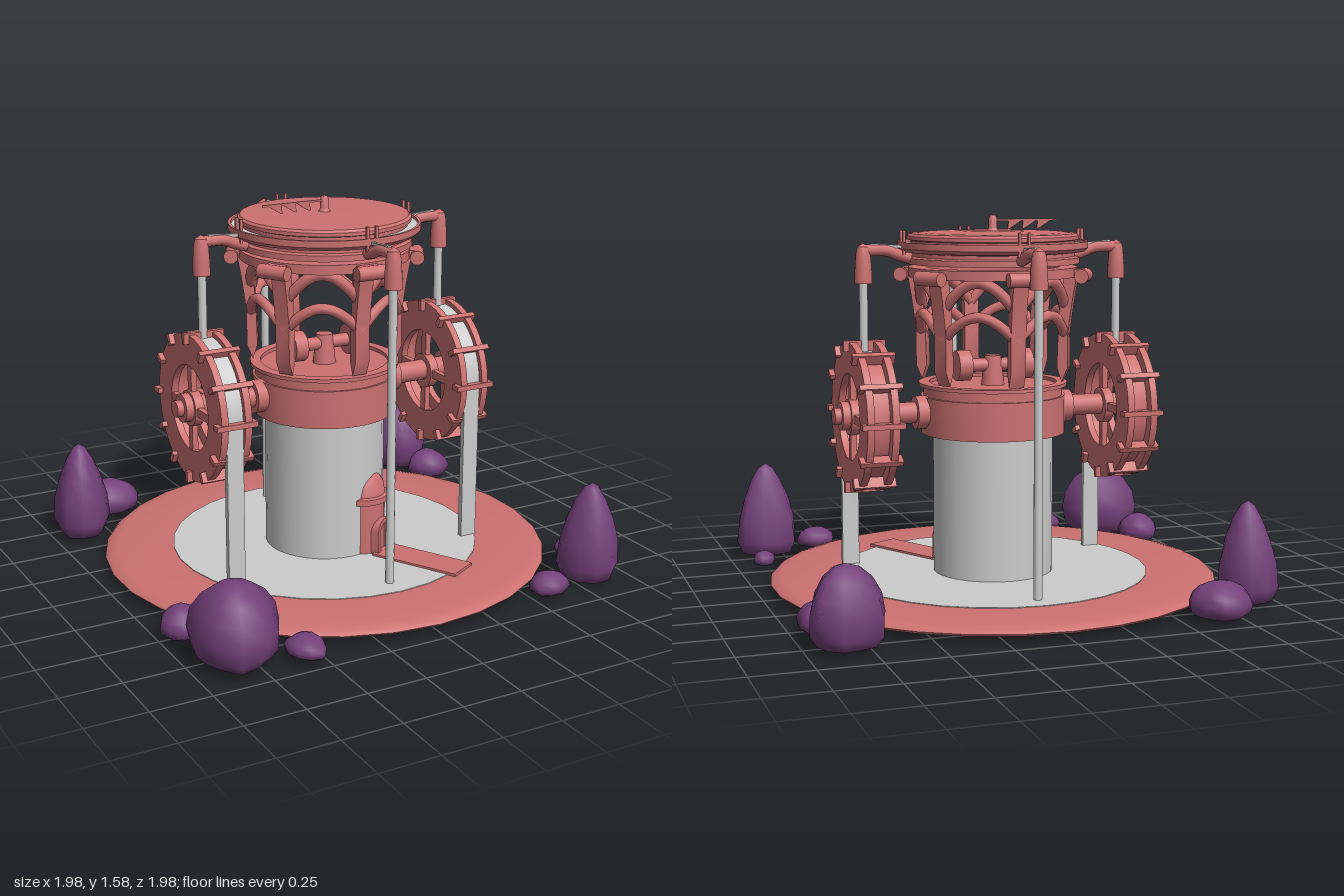
import * as THREE from 'three';
import { mergeVertices, toCreasedNormals } from 'three/addons/utils/BufferGeometryUtils.js';

const red = new THREE.MeshStandardMaterial({ color: 0xcc7171, side: THREE.DoubleSide });
const grey = new THREE.MeshStandardMaterial({ color: 0xcccccc, side: THREE.DoubleSide });
const purple = new THREE.MeshStandardMaterial({ color: 0x74417a });

function add(parent, name, geo, mat = red, x = 0, y = 0, z = 0) {
  const m = new THREE.Mesh(geo, mat);
  m.name = name;
  m.position.set(x, y, z);
  parent.add(m);
  return m;
}
const group = (parent, name) => {
  const g = new THREE.Group();
  g.name = name;
  parent.add(g);
  return g;
};
// Turned shape from [radius, height] pairs, with sharp edges kept
const turn = (pts, seg = 40) =>
  toCreasedNormals(new THREE.LatheGeometry(pts.map(p => new THREE.Vector2(...p)), seg), 0.6);
const cyl = (r1, r2, h, seg = 20) => new THREE.CylinderGeometry(r1, r2, h, seg);
const box = (w, h, d) => new THREE.BoxGeometry(w, h, d);
const tube = (pts, r, n = 16) =>
  new THREE.TubeGeometry(new THREE.CatmullRomCurve3(pts.map(p => new THREE.Vector3(...p))), n, r, 8);
// Flat shape given depth, centred on its own plane
const slab = (shape, depth) => toCreasedNormals(
  new THREE.ExtrudeGeometry(shape, { depth, bevelEnabled: false, curveSegments: 32 })
    .translate(0, 0, -depth / 2), 0.6);
function ring(outer, inner, depth) {
  const s = new THREE.Shape().absarc(0, 0, outer, 0, Math.PI * 2);
  s.holes.push(new THREE.Path().absarc(0, 0, inner, 0, Math.PI * 2, true));
  return slab(s, depth);
}

// Round platform with its pool
function addBase(root) {
  const g = group(root, 'base');
  add(g, 'platform', turn([[0, 0.025], [0.9, 0.022], [0.945, 0.028], [0.953, 0.038], [0.94, 0.05],
    [0.9, 0.06], [0.66, 0.06], [0, 0.055]], 30));
  add(g, 'poolWater', cyl(0.66, 0.66, 0.008, 30), grey, 0, 0.059);
  add(g, 'poolUnderside', ring(0.7, 0.675, 0.008), grey, 0, 0.022).rotation.x = Math.PI / 2;
}

// Grey tower with red drum and a small domed entrance
function addTower(root) {
  const g = group(root, 'tower');
  add(g, 'towerWall', cyl(0.255, 0.255, 0.61, 32), grey, 0, 0.365);
  add(g, 'drum', turn([[0, 0.66], [0.305, 0.66], [0.305, 0.82], [0.295, 0.82], [0.295, 0.86],
    [0.315, 0.86], [0.315, 0.875], [0.27, 0.875], [0.27, 0.86], [0, 0.86]]));

  const e = group(g, 'entrance');
  e.rotation.y = 0.5;
  add(e, 'porch', turn([[0.1, 0.06], [0.1, 0.28], [0.115, 0.285], [0.115, 0.31], [0.1, 0.315],
    [0.093, 0.36], [0.065, 0.405], [0.03, 0.43], [0.02, 0.455], [0, 0.46]], 24), red, 0, 0, 0.19);
  const arch = new THREE.Shape().moveTo(-0.055, 0).lineTo(0.055, 0).lineTo(0.055, 0.1)
    .absarc(0, 0.1, 0.055, 0, Math.PI);
  arch.holes.push(new THREE.Path().moveTo(-0.035, 0.005).lineTo(-0.035, 0.1)
    .absarc(0, 0.1, 0.035, Math.PI, 0, true).lineTo(0.035, 0.005));
  add(e, 'doorFrame', slab(arch, 0.05), red, 0, 0.06, 0.285);
  add(e, 'footbridge', box(0.145, 0.03, 0.4), red, 0, 0.057, 0.49);

  // Mechanism on the drum
  const m = group(g, 'mechanism');
  add(m, 'post', cyl(0.035, 0.05, 0.13), red, 0, 0.92);
  add(m, 'axle', cyl(0.028, 0.028, 0.3), red, 0, 0.945).rotation.z = Math.PI / 2;
  for (const s of [-1, 1]) add(m, 'roller', cyl(0.065, 0.065, 0.058), red, s * 0.135, 0.945).rotation.z = Math.PI / 2;
}

// Water wheel, its axle and the water running over its front; s is the side
function addWheel(root, s) {
  const g = group(root, s > 0 ? 'leftWheel' : 'rightWheel');
  for (const [r, len, x] of [[0.07, 0.07, 0.31], [0.045, 0.36, 0.48], [0.06, 0.04, 0.645], [0.035, 0.05, 0.668]])
    add(g, 'axle', cyl(r, r, len), red, s * x, 0.755).rotation.z = Math.PI / 2;

  const w = group(g, 'wheel');
  w.position.set(s * 0.56, 0.75, 0);
  w.rotation.y = -Math.PI / 2;
  for (const z of [-0.052, 0.052]) {
    add(w, 'rim', ring(0.31, 0.18, 0.03), red, 0, 0, z);
    for (let i = 0; i < 2; i++) add(w, 'spokes', box(0.38, 0.035, 0.025), red, 0, 0, z).rotation.z = i * Math.PI / 2;
    add(w, 'hub', ring(0.075, 0.04, 0.04), red, 0, 0, z);
  }
  add(w, 'tread', ring(0.265, 0.235, 0.09));
  for (let i = 0; i < 12; i++) {
    const a = i * Math.PI / 6;
    const p = add(w, 'paddle', box(0.045, 0.022, 0.178), red, Math.cos(a) * 0.295, Math.sin(a) * 0.295);
    p.rotation.z = a;
  }
  const flow = new THREE.Shape().moveTo(0.265, -0.75).lineTo(0.29, -0.75).lineTo(0.29, 0)
    .absarc(0, 0, 0.29, 0, Math.PI / 2).lineTo(0, 0.265).absarc(0, 0, 0.265, Math.PI / 2, 0, true);
  add(w, 'wheelWater', slab(flow, 0.073), grey);
}

// Six curved legs with two tiers of arches
function addColonnade(root) {
  const g = group(root, 'colonnade');
  const side = new THREE.Shape().moveTo(0.3, 0.88).lineTo(0.325, 0.94).lineTo(0.325, 1.08)
    .quadraticCurveTo(0.34, 1.22, 0.365, 1.34).lineTo(0.31, 1.34)
    .quadraticCurveTo(0.29, 1.2, 0.285, 1.1).lineTo(0.28, 0.94);
  for (let i = 0; i < 6; i++) {
    const leg = group(g, 'leg');
    leg.rotation.y = Math.PI / 6 + i * Math.PI / 3;
    add(leg, 'pillar', slab(side, 0.065));
    add(leg, 'roll', cyl(0.03, 0.03, 0.13, 16), red, 0.385, 1.325).rotation.x = Math.PI / 2;
    add(leg, 'bracket', box(0.1, 0.035, 0.09), red, 0.34, 1.335);
    for (const [y, h, r] of [[1.07, 0.1, 0.022], [1.19, 0.12, 0.024]]) {
      const pts = [];
      for (let k = 0; k <= 10; k++) {
        const a = k / 10 * Math.PI / 3;
        pts.push([Math.cos(a) * 0.305, y + h * Math.sin(k / 10 * Math.PI), Math.sin(a) * 0.305]);
      }
      add(leg, 'arch', tube(pts, r, 20));
    }
  }
  add(g, 'topRing', ring(0.355, 0.28, 0.04), red, 0, 1.34).rotation.x = Math.PI / 2;
}

// Lid, gutter and pointer
function addRoof(root) {
  const g = group(root, 'roof');
  add(g, 'gutter', turn([[0, 1.375], [0.365, 1.375], [0.365, 1.4], [0.345, 1.405], [0.345, 1.42],
    [0.385, 1.425], [0.4, 1.44], [0.4, 1.467], [0.388, 1.467], [0.383, 1.435], [0.34, 1.435]]));
  add(g, 'gutterWater', ring(0.387, 0.33, 0.008), grey, 0, 1.452).rotation.x = Math.PI / 2;
  add(g, 'lid', turn([[0.345, 1.43], [0.345, 1.47], [0.36, 1.475], [0.36, 1.49], [0.35, 1.5], [0.3, 1.503], [0, 1.508]]));
  add(g, 'finial', turn([[0.03, 1.5], [0.018, 1.52], [0.018, 1.56], [0.012, 1.573], [0, 1.575]], 16));
  add(g, 'pointer', box(0.285, 0.008, 0.008), red, -0.143, 1.553);
  const tooth = new THREE.Shape().moveTo(0, 0).lineTo(0.06, 0).lineTo(0.065, -0.04).quadraticCurveTo(0.04, -0.03, 0, 0);
  for (let i = 0; i < 3; i++) add(g, 'pennant', slab(tooth, 0.006), red, -0.26 + i * 0.065, 1.553);
}

// Four spouts with the streams falling from them
function addSpouts(root) {
  for (let i = 0; i < 4; i++) {
    const g = group(root, 'spout');
    g.rotation.y = i * Math.PI / 2;
    add(g, 'arm', tube([[0.36, 1.4, 0], [0.41, 1.415, 0], [0.46, 1.433, 0], [0.56, 1.435, 0]], 0.024));
    add(g, 'armWater', box(0.15, 0.012, 0.014), grey, 0.455, 1.452).rotation.z = 0.08;
    add(g, 'nozzle', turn([[0.02, 1.3], [0.037, 1.3], [0.035, 1.36], [0.031, 1.42], [0.024, 1.45], [0, 1.465]], 16), red, 0.56);
    for (const z of [-0.02, 0.02]) add(g, 'upright', box(0.012, 0.1, 0.012), red, 0.392, 1.465, z);
    const bottom = i % 2 ? 0 : 1.02;
    add(g, 'stream', cyl(0.018, 0.018, 1.32 - bottom, 12), grey, 0.56, (1.32 + bottom) / 2);
  }
}

// Uneven, tapering boulders around the platform
function addRocks(root) {
  const g = group(root, 'rocks');
  const rocks = [ // x, z, half width, half depth, height
    [-0.66, -0.865, 0.135, 0.125, 0.14], [-0.87, -0.67, 0.13, 0.14, 0.41], [0.84, -0.79, 0.15, 0.15, 0.31],
    [0.885, -0.57, 0.1, 0.1, 0.12], [-0.905, 0.51, 0.095, 0.095, 0.12], [-0.81, 0.79, 0.18, 0.195, 0.31],
    [-0.56, 0.89, 0.08, 0.1, 0.075], [0.885, 0.56, 0.05, 0.05, 0.06], [0.58, 0.865, 0.09, 0.075, 0.085],
    [0.825, 0.805, 0.145, 0.13, 0.41]];
  rocks.forEach(([x, z, w, d, h], n) => {
    let geo = new THREE.SphereGeometry(1, 10, 8);
    geo.deleteAttribute('uv');
    geo.deleteAttribute('normal');
    geo = mergeVertices(geo, 1e-3);
    const p = geo.attributes.position;
    for (let i = 0; i < p.count; i++) {
      const a = Math.atan2(p.getZ(i), p.getX(i));
      const t = Math.max(0, (p.getY(i) + 0.6) / 1.6);
      const bump = 1 + 0.07 * Math.sin(3 * a + n * 1.7) + 0.05 * Math.sin(5 * a + 4 * t + n);
      const r = bump * (h > 0.35 ? 1.06 - 0.5 * t : 1.02 - 0.15 * t);
      p.setXYZ(i, p.getX(i) * r * w, t * h, p.getZ(i) * r * d);
    }
    geo.computeVertexNormals();
    add(g, 'rock', geo, purple, x, 0.02, z);
  });
}

export function createModel() {
  const root = new THREE.Group();
  root.name = 'waterTower';
  addBase(root);
  addTower(root);
  addWheel(root, 1);
  addWheel(root, -1);
  addColonnade(root);
  addRoof(root);
  addSpouts(root);
  addRocks(root);
  return root;
}
